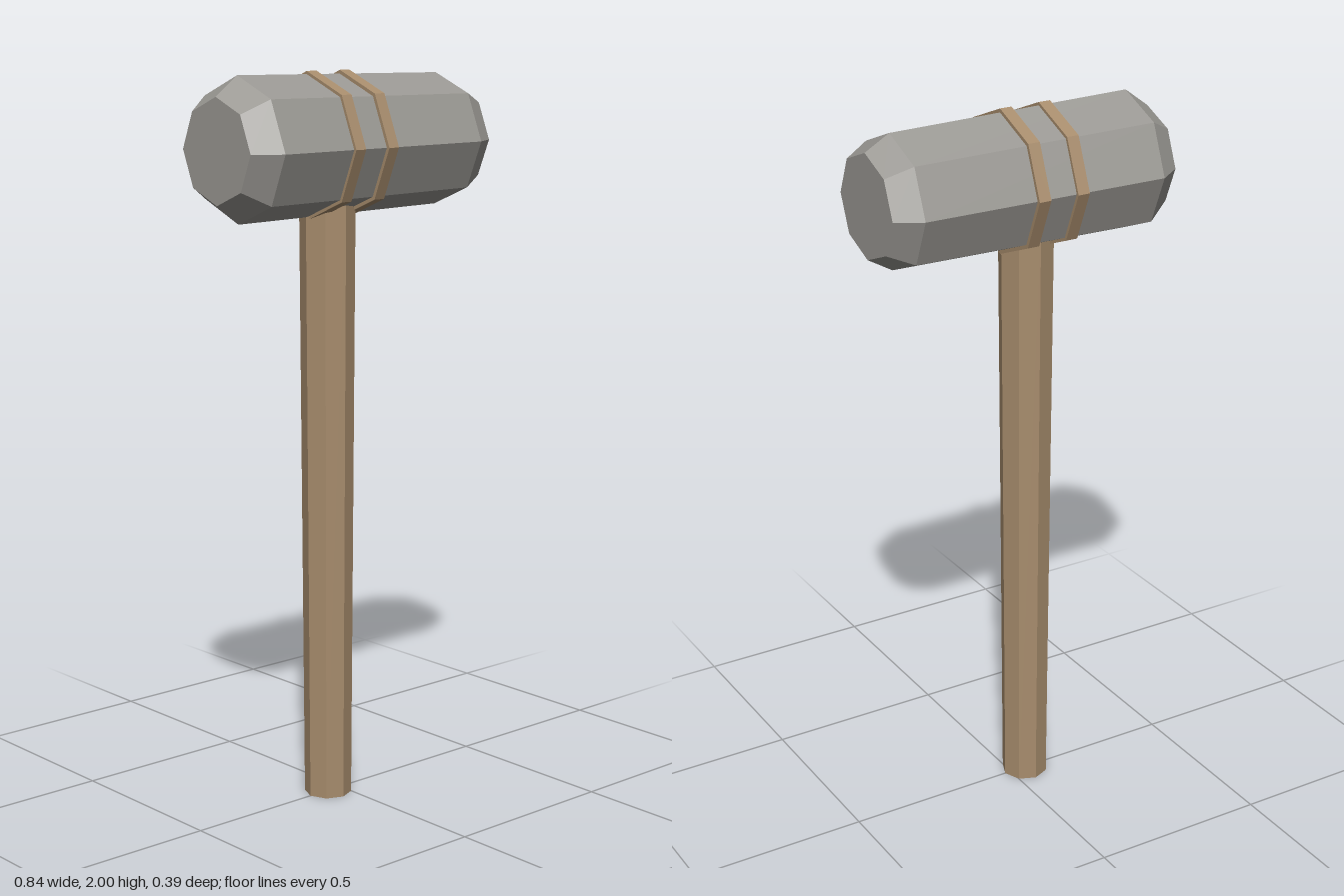
import * as THREE from 'three';

export function createModel() {
  const model = new THREE.Group();
  model.name = 'mallet';

  const stone = new THREE.MeshStandardMaterial({ color: 0x9b9994, flatShading: true });
  stone.name = 'grey stone';
  const wood = new THREE.MeshStandardMaterial({ color: 0xa88d6d, flatShading: true });
  wood.name = 'brown wood';

  const SIDES = 8;
  const AXIS_Y = 1.805; // height of the head's axis
  const HANDLE_X = -0.046;

  const add = (name, geometry, material, x, y) => {
    const mesh = new THREE.Mesh(geometry, material);
    mesh.name = name;
    mesh.position.set(x, y, 0);
    model.add(mesh);
    return mesh;
  };

  // Handle: octagonal shaft, slightly thicker towards the head
  const handleTop = 1.75;
  add('handle', new THREE.CylinderGeometry(0.076, 0.065, handleTop, SIDES), wood, HANDLE_X, handleTop / 2);

  // Head: octagonal barrel with chamfered ends, [radius, x] along its axis
  const profile = [[0, -0.42], [0.138, -0.42], [0.19, -0.35], [0.18, 0.35], [0.14, 0.42], [0, 0.42]]
    .map(([r, x]) => new THREE.Vector2(r, x));
  const headGeometry = new THREE.LatheGeometry(profile, SIDES).rotateZ(-Math.PI / 2);
  add('head', headGeometry, stone, 0, AXIS_Y);

  // Two straps around the head, either side of the handle
  for (const [name, x] of [['rightStrap', -0.1], ['leftStrap', 0.015]]) {
    const strap = new THREE.CylinderGeometry(0.195, 0.195, 0.034, SIDES).rotateZ(-Math.PI / 2);
    add(name, strap, wood, x, AXIS_Y);
  }

  return model;
}
